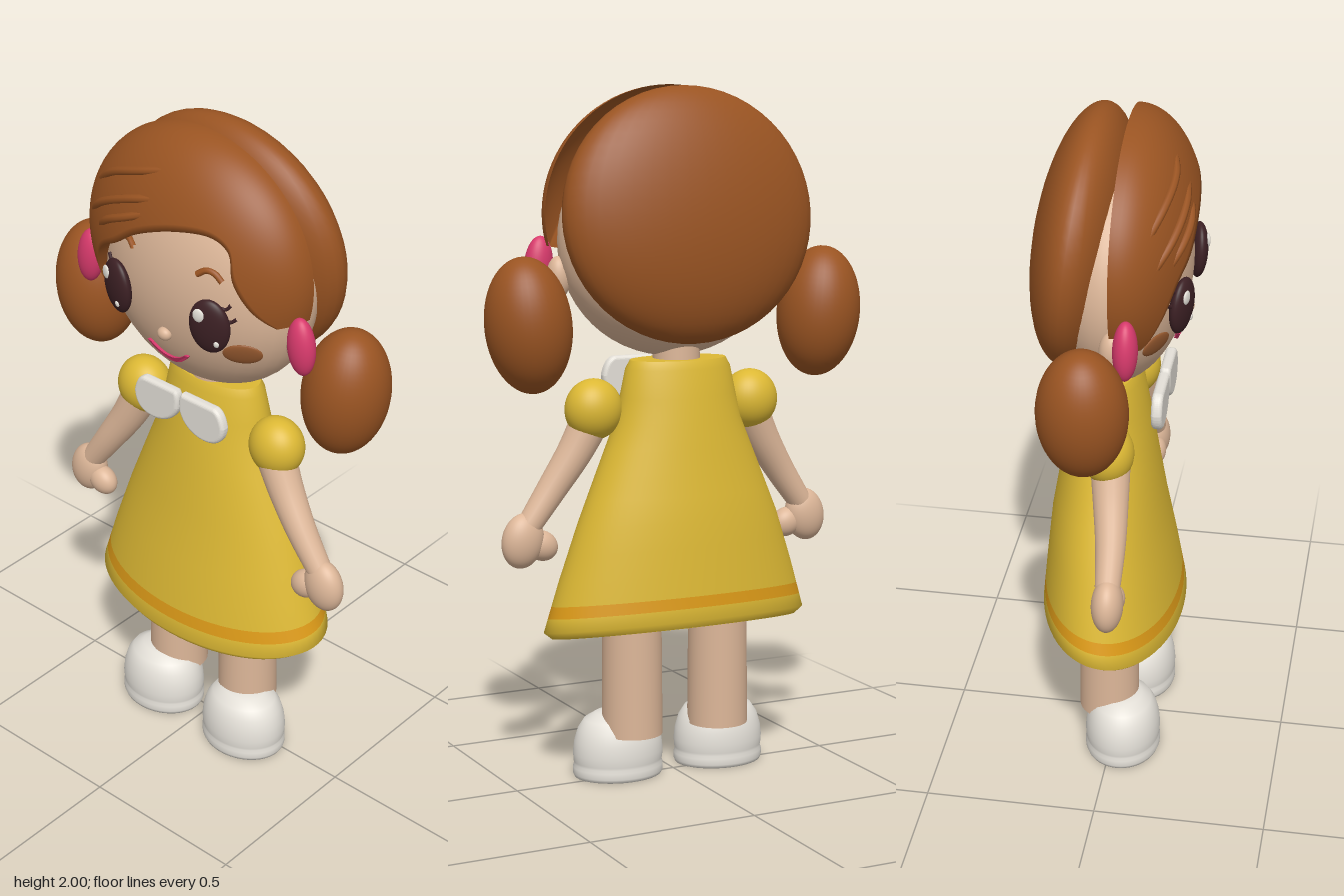
import * as THREE from 'three';
import { mergeVertices } from 'three/addons/utils/BufferGeometryUtils.js';

const V = (x, y, z) => new THREE.Vector3(x, y, z);

function material(name, color, side = THREE.FrontSide) {
  const m = new THREE.MeshStandardMaterial({ color, side });
  m.name = name;
  return m;
}

// Head ellipsoid and the larger ellipsoid the fringe lies on
const HEAD = { y: 1.565, z: 0, r: [0.352, 0.335, 0.2] };
const FRINGE = { y: 1.64, z: 0.025, r: [0.387, 0.36, 0.205] };
const surfaceZ = (e, x, y) =>
  e.z + e.r[2] * Math.sqrt(Math.max(0, 1 - (x / e.r[0]) ** 2 - ((y - e.y) / e.r[1]) ** 2));

export function createModel() {
  const model = new THREE.Group();
  const hair = material('hair brown', 0x9a5422, THREE.DoubleSide);
  const skin = material('skin', 0xdcb698);
  const yellow = material('dress yellow', 0xdcb834, THREE.DoubleSide);
  const orange = material('hem orange', 0xdc9a18, THREE.DoubleSide);
  const white = material('white', 0xe4e0d8);
  const pink = material('pink', 0xd83a6c);
  const dark = material('eye dark brown', 0x3c2024);
  const blush = material('cheek brown', 0x96592f);

  function add(name, geometry, mat, parent = model) {
    const mesh = new THREE.Mesh(geometry, mat);
    mesh.name = name;
    parent.add(mesh);
    return mesh;
  }
  function ellipsoid(name, mat, pos, radii, tiltZ = 0, tiltX = 0) {
    const mesh = add(name, new THREE.SphereGeometry(1, 40, 28), mat);
    mesh.position.set(...pos);
    mesh.scale.set(...radii);
    mesh.rotation.set(tiltX, 0, tiltZ);
    return mesh;
  }
  // Flat ellipsoid turned to follow the face
  function onFace(name, mat, x, y, radii, lift = 0) {
    const z = surfaceZ(HEAD, x, y);
    const n = V(x / HEAD.r[0] ** 2, (y - HEAD.y) / HEAD.r[1] ** 2, z / HEAD.r[2] ** 2).normalize();
    const mesh = ellipsoid(name, mat, [x + n.x * lift, y + n.y * lift, z + n.z * lift], radii);
    mesh.quaternion.setFromUnitVectors(V(0, 0, 1), n);
    return mesh;
  }
  const faceTube = (name, mat, pts, radius, lift) => add(name, new THREE.TubeGeometry(
    new THREE.CatmullRomCurve3(pts.map(([x, y]) => V(x, y, surfaceZ(HEAD, x, y) + lift))), 16, radius, 8), mat);

  // Head, neck and back hair
  ellipsoid('head', skin, [0, HEAD.y, HEAD.z], HEAD.r);
  add('neck', new THREE.CylinderGeometry(0.065, 0.07, 0.16, 28), skin).position.set(0, 1.24, -0.02);
  ellipsoid('backHair', hair, [0, 1.637, -0.1], [0.387, 0.363, 0.134], 0, 0.11);

  // Fringe: strip between the hairline and the crown, with a lip turned in to the face
  const hairline = new THREE.CatmullRomCurve3([
    [-0.295, 1.45], [-0.28, 1.53], [-0.235, 1.62], [-0.15, 1.675], [-0.07, 1.73], [0.06, 1.78], [0.17, 1.79],
    [0.22, 1.76], [0.24, 1.68], [0.285, 1.6], [0.335, 1.545]].map(([x, y]) => V(x, y, 0)));
  const fringe = new THREE.PlaneGeometry(1, 1, 64, 21);
  const p = fringe.attributes.position;
  for (let i = 0; i < p.count; i++) {
    const u = p.getX(i) + 0.5;
    const row = Math.round((p.getY(i) + 0.5) * 21);
    const v = Math.sin(Math.max(0, row - 1) / 20 * Math.PI / 2);
    const a = THREE.MathUtils.degToRad(212 - 226 * u);
    const h = hairline.getPoint(u);
    const x = THREE.MathUtils.lerp(h.x, FRINGE.r[0] * Math.cos(a), v);
    const y = THREE.MathUtils.lerp(h.y, FRINGE.y + FRINGE.r[1] * Math.sin(a), v);
    p.setXYZ(i, x, y, surfaceZ(FRINGE, x, y) - (row === 0 ? 0.08 : 0));
  }
  fringe.computeVertexNormals();
  add('fringe', fringe, hair);

  // Raised locks sweeping across the fringe
  [[[-0.35, 1.64], [-0.25, 1.745], [-0.12, 1.81], [0.02, 1.845]],
   [[-0.345, 1.73], [-0.23, 1.835], [-0.11, 1.885], [0.01, 1.915]],
   [[-0.27, 1.66], [-0.2, 1.72], [-0.12, 1.76], [-0.02, 1.8]]].forEach((pts) => {
    const curve = new THREE.CatmullRomCurve3(pts.map(([x, y], i) =>
      V(x, y, surfaceZ(FRINGE, x, y) - (i % 3 ? 0 : 0.02))));
    add('hairLock', new THREE.TubeGeometry(curve, 24, 0.012, 8), hair);
  });

  // Nose and crescent smile
  onFace('nose', skin, 0, 1.437, [0.022, 0.02, 0.018], 0.004);
  const smile = new THREE.Shape();
  smile.moveTo(-0.075, 1.385);
  smile.quadraticCurveTo(0, 1.29, 0.075, 1.385);
  smile.quadraticCurveTo(0.06, 1.388, 0.055, 1.378);
  smile.quadraticCurveTo(0, 1.332, -0.055, 1.378);
  smile.quadraticCurveTo(-0.06, 1.388, -0.075, 1.385);
  const mouth = new THREE.ExtrudeGeometry(smile, { depth: 0.009, bevelEnabled: false, curveSegments: 16 });
  const m = mouth.attributes.position;
  for (let i = 0; i < m.count; i++) m.setZ(i, m.getZ(i) + 0.005 + surfaceZ(HEAD, m.getX(i), m.getY(i)));
  mouth.computeVertexNormals();
  add('mouth', mouth, pink);

  // Dress: elliptical sections [y, half width, half depth, z centre], hem sloping down to the front
  const sections = [[0.435, 0.385, 0.195, -0.015], [0.455, 0.41, 0.207, -0.015], [0.6, 0.366, 0.188, -0.022],
    [0.76, 0.312, 0.165, -0.03], [0.9, 0.255, 0.143, -0.03], [1.05, 0.193, 0.12, -0.03], [1.2, 0.162, 0.092, -0.03],
    [1.225, 0.148, 0.08, -0.03]];
  function section(y) {
    let i = 0;
    while (i < sections.length - 2 && y > sections[i + 1][0]) i++;
    const [a, b] = [sections[i], sections[i + 1]];
    const t = (y - a[0]) / (b[0] - a[0]);
    return a.map((k, j) => k + (b[j] - k) * t);
  }
  function dressBand(name, mat, heights) {
    let g = new THREE.LatheGeometry(heights.map((y) => new THREE.Vector2(1, y)), 64);
    g.deleteAttribute('uv');
    g.deleteAttribute('normal');
    g = mergeVertices(g);
    const q = g.attributes.position;
    for (let i = 0; i < q.count; i++) {
      const y = q.getY(i);
      const [, rx, rz, zc] = section(y);
      const z = q.getZ(i) * rz + zc;
      const slope = 0.2 * Math.max(0, 1 - (y - 0.45) / 0.7);
      q.setXYZ(i, q.getX(i) * rx, y - slope * (z + 0.015), z);
    }
    g.computeVertexNormals();
    add(name, g, mat);
  }
  dressBand('dressHem', yellow, [0.435, 0.455, 0.495]);
  dressBand('dressStripe', orange, [0.495, 0.53]);
  dressBand('dressBody', yellow, [0.53, 0.6, 0.68, 0.76, 0.83, 0.9, 0.97, 1.05, 1.12, 1.2, 1.225]);

  // Dress underside and shoulder cap
  const underside = add('dressUnderside', new THREE.CircleGeometry(1, 64), yellow);
  underside.scale.set(0.385, 0.199, 1);
  underside.position.set(0, 0.435, -0.015);
  underside.rotation.x = Math.PI / 2 + 0.2;
  const top = add('dressTop', new THREE.CircleGeometry(1, 64), yellow);
  top.scale.set(0.148, 0.08, 1);
  top.position.set(0, 1.225, -0.03);
  top.rotation.x = -Math.PI / 2;

  // Collar petal
  const petal = new THREE.Shape();
  petal.moveTo(0.018, 1.21);
  petal.lineTo(0.13, 1.21);
  petal.quadraticCurveTo(0.15, 1.205, 0.158, 1.165);
  petal.quadraticCurveTo(0.155, 1.105, 0.085, 1.11);
  petal.quadraticCurveTo(0.03, 1.12, 0.015, 1.165);
  petal.quadraticCurveTo(0.01, 1.2, 0.018, 1.21);
  const collar = new THREE.ExtrudeGeometry(petal, {
    depth: 0.008, bevelThickness: 0.012, bevelSize: 0.011, bevelSegments: 5, curveSegments: 12 });
  collar.center();

  // Mirrored parts
  for (const s of [-1, 1]) {
    // Eyes, brows, lashes and cheeks
    onFace('eye', dark, s * 0.163, 1.528, [0.06, 0.083, 0.026], 0.018);
    onFace('eyeHighlight', white, s * 0.163 - 0.02, 1.566, [0.017, 0.02, 0.006], 0.041);
    onFace('eyeSparkle', white, s * 0.163 + 0.022, 1.49, [0.008, 0.01, 0.005], 0.04);
    faceTube('eyebrow', hair, [[0.115, 1.662], [0.14, 1.678], [0.165, 1.674], [0.187, 1.655]]
      .map(([x, y]) => [s * x, y]), 0.009, 0.004);
    faceTube('upperLash', dark, [[0.195, 1.585], [0.21, 1.585], [0.222, 1.6]].map(([x, y]) => [s * x, y]), 0.005, 0.014);
    faceTube('lowerLash', dark, [[0.205, 1.55], [0.222, 1.548], [0.237, 1.56]].map(([x, y]) => [s * x, y]), 0.005, 0.014);
    onFace('cheek', blush, s * 0.232, 1.438, [0.056, 0.035, 0.008], 0.003);
    ellipsoid('ear', skin, [s * 0.345, 1.465, 0.03], [0.035, 0.06, 0.035]);

    // Pigtails and hair ties
    ellipsoid('pigtail', hair, [s * 0.464, 1.34, -0.03], [0.122, 0.192, 0.125], s * -0.1);
    ellipsoid('hairTie', pink, [s * 0.388, 1.495, 0.073], [0.042, 0.085, 0.034], s * 0.1);

    // Collar half
    const half = add('collar', collar, white);
    half.position.set(s * 0.085, 1.16, 0.125);
    if (s < 0) half.rotation.y = Math.PI;

    // Sleeve, tapering arm, hand and thumb
    ellipsoid('sleeve', yellow, [s * 0.252, 1.088, 0.003], [0.084, 0.088, 0.074]);
    const path = new THREE.CatmullRomCurve3([V(s * 0.25, 1.07, 0.01), V(s * 0.305, 0.965, 0.02),
      V(s * 0.37, 0.865, 0.03), V(s * 0.44, 0.765, 0.033)]);
    const arm = new THREE.TubeGeometry(path, 24, 1, 20);
    const a = arm.attributes.position;
    for (let i = 0; i < a.count; i++) {
      const t = Math.floor(i / 21) / 24;
      const c = path.getPointAt(t);
      const v = V(a.getX(i), a.getY(i), a.getZ(i)).sub(c).multiplyScalar(0.058 - 0.022 * t).add(c);
      a.setXYZ(i, v.x, v.y, v.z);
    }
    add('arm', arm, skin);
    ellipsoid('hand', skin, [s * 0.46, 0.72, 0.035], [0.062, 0.08, 0.045], s * 0.2);
    ellipsoid('thumb', skin, [s * 0.4, 0.7, 0.04], [0.05, 0.043, 0.036], s * 0.5);

    // Leg and shoe with a rounded sole
    add('leg', new THREE.CylinderGeometry(0.086, 0.089, 0.38, 36), skin).position.set(s * 0.14, 0.32, -0.012);
    const shoe = add('shoe', new THREE.LatheGeometry([[0, 0], [0.97, 0], [1, 0.01], [1, 0.028], [0.97, 0.037],
      [0.985, 0.045], [1, 0.07], [0.97, 0.105], [0.89, 0.14], [0.75, 0.168], [0.5, 0.187], [0.25, 0.192], [0, 0.193]]
      .map(([r, y]) => new THREE.Vector2(r, y)), 48), white);
    shoe.scale.set(0.136, 1, 0.112);
    shoe.position.set(s * 0.165, 0, 0.033);
  }
  return model;
}
